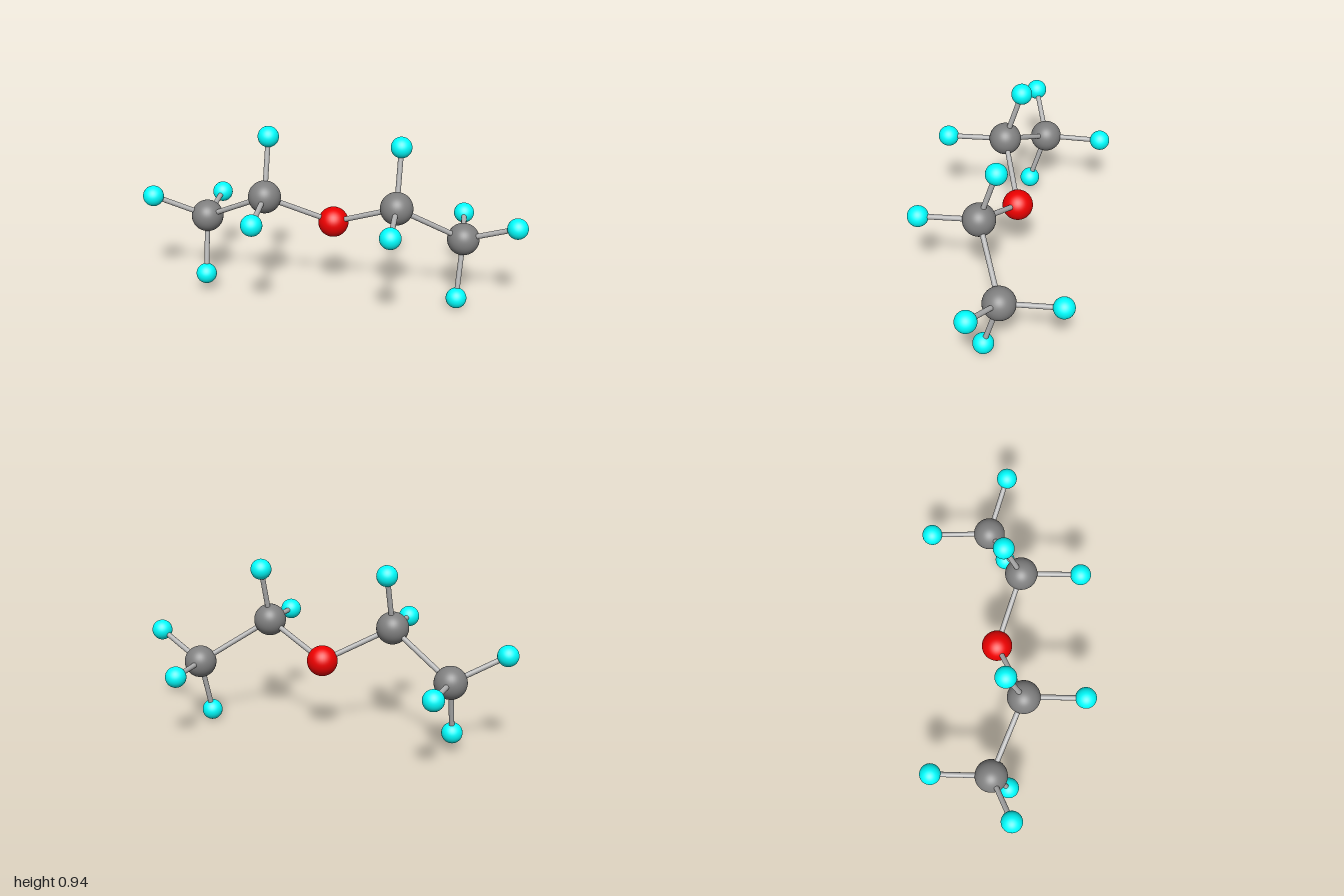
import * as THREE from 'three';

// Atom styles: radius and colour
const STYLES = {
  carbon: { radius: 0.084, color: 0x808080 },
  oxygen: { radius: 0.079, color: 0xee0000 },
  hydrogen: { radius: 0.054, color: 0x00ffff },
};

// Backbone chain, from right (-x) to left (+x), each with its attached hydrogens
const CHAIN = [
  { name: 'rightEndCarbon', style: 'carbon', at: [-0.683, 0.4, -0.102],
    hydrogens: [[-0.946, 0.537, -0.012], [-0.682, 0.1, -0.013], [-0.663, 0.415, -0.408]] },
  { name: 'rightInnerCarbon', style: 'carbon', at: [-0.339, 0.598, 0.077],
    hydrogens: [[-0.328, 0.892, -0.012], [-0.351, 0.575, 0.387]] },
  { name: 'centreOxygen', style: 'oxygen', at: [0, 0.425, -0.042], hydrogens: [] },
  { name: 'leftInnerCarbon', style: 'carbon', at: [0.336, 0.576, 0.1],
    hydrogens: [[0.348, 0.87, 0.01], [0.326, 0.552, 0.409]] },
  { name: 'leftEndCarbon', style: 'carbon', at: [0.677, 0.356, -0.054],
    hydrogens: [[0.946, 0.476, 0.055], [0.654, 0.055, 0.031], [0.677, 0.372, -0.365]] },
];

export function createModel() {
  const model = new THREE.Group();
  model.name = 'molecule';

  const bondMaterial = new THREE.MeshStandardMaterial({ color: 0xb4b4b4 });
  const kinds = {};
  for (const [key, { radius, color }] of Object.entries(STYLES)) {
    kinds[key] = {
      geometry: new THREE.SphereGeometry(radius, 40, 28),
      material: new THREE.MeshStandardMaterial({ color }),
    };
  }

  // Ball at a point
  function addAtom(name, style, at) {
    const mesh = new THREE.Mesh(kinds[style].geometry, kinds[style].material);
    mesh.name = name;
    mesh.position.set(...at);
    model.add(mesh);
  }

  // Rod between two atom centres
  function addBond(name, from, to) {
    const a = new THREE.Vector3(...from);
    const b = new THREE.Vector3(...to);
    const rod = new THREE.CylinderGeometry(0.0135, 0.0135, a.distanceTo(b), 20);
    const mesh = new THREE.Mesh(rod, bondMaterial);
    mesh.name = name;
    mesh.position.lerpVectors(a, b, 0.5);
    mesh.quaternion.setFromUnitVectors(new THREE.Vector3(0, 1, 0), b.sub(a).normalize());
    model.add(mesh);
  }

  CHAIN.forEach(({ name, style, at, hydrogens }, i) => {
    addAtom(name, style, at);
    if (i > 0) addBond(`backboneBond${i}`, CHAIN[i - 1].at, at);
    hydrogens.forEach((h, j) => {
      addAtom(`${name}Hydrogen${j + 1}`, 'hydrogen', h);
      addBond(`${name}HydrogenBond${j + 1}`, at, h);
    });
  });

  return model;
}
